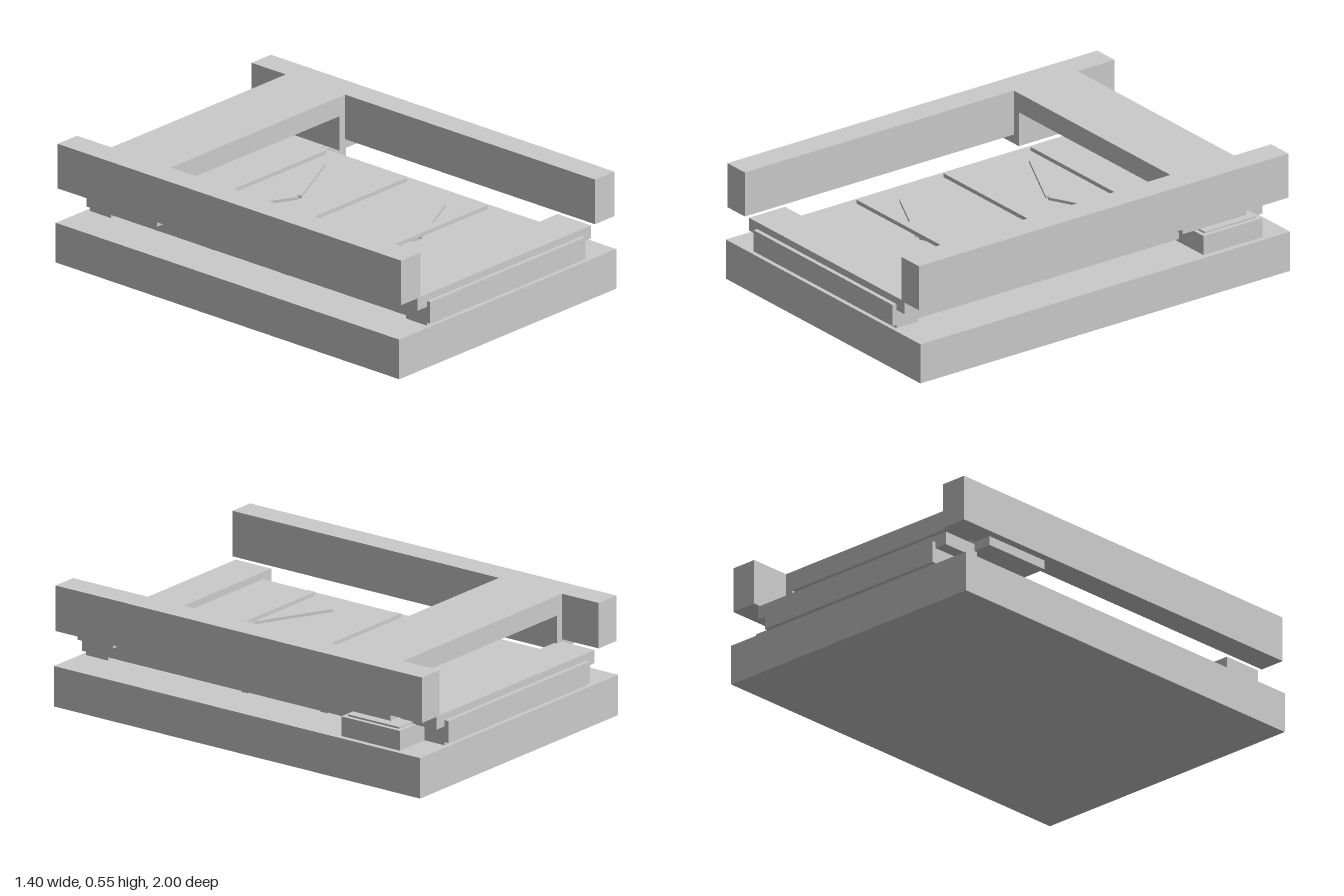
import * as THREE from 'three';

export function createModel() {
  const model = new THREE.Group();
  const material = new THREE.MeshStandardMaterial({ color: 0xcccccc, flatShading: true });

  // Box given by its [min, max] range along each axis
  function block(name, [x0, x1], [y0, y1], [z0, z1]) {
    const mesh = new THREE.Mesh(new THREE.BoxGeometry(x1 - x0, y1 - y0, z1 - z0), material);
    mesh.position.set((x0 + x1) / 2, (y0 + y1) / 2, (z0 + z1) / 2);
    mesh.name = name;
    model.add(mesh);
    return mesh;
  }

  // Base slab and the panel that rides above it
  block('base', [-0.7, 0.7], [0, 0.185], [-1, 1]);
  block('panel', [-0.5, 0.5], [0.2, 0.3], [-1, 1]);

  // End caps over the panel and the feet beneath it
  for (const [z0, z1] of [[0.785, 0.98], [-0.98, -0.785]]) {
    block('endCap', [-0.56, 0.56], [0.272, 0.332], [z0, z1]);
  }
  for (const [z0, z1] of [[0.86, 0.98], [-0.98, -0.86]]) {
    block('foot', [-0.5, 0.5], [0.185, 0.2], [z0, z1]);
  }

  // Rollers half sunk into the base
  for (const z of [0.13, -0.3]) {
    const roller = new THREE.Mesh(new THREE.CylinderGeometry(0.03, 0.03, 0.95, 20), material);
    roller.rotation.z = Math.PI / 2;
    roller.position.set(0, 0.165, z);
    roller.name = 'roller';
    model.add(roller);
  }

  // Side rails and the bridge brackets that hang from them
  for (const s of [-1, 1]) {
    const span = (a, b) => (s > 0 ? [a, b] : [-b, -a]);
    block('sideRail', span(0.563, 0.688), [0.342, 0.55], [-1, 1]);
    block('bridgeBracket', span(0.527, 0.65), [0.3, 0.46], [-0.8, -0.455]);
  }
  block('bridge', [-0.563, 0.563], [0.46, 0.55], [-0.8, -0.455]);

  // Raised cross bars
  for (const z of [-0.47, 0, 0.47]) {
    block('crossBar', [-0.437, 0.437], [0.312, 0.33], [z - 0.02, z + 0.02]);
  }

  // Chevrons, each made of two angled strips
  for (const z of [-0.315, 0.385]) {
    for (const s of [-1, 1]) {
      const strip = block('chevronStrip', [-0.195, 0.195], [0.3, 0.313], [-0.02, 0.02]);
      strip.position.x = s * 0.175;
      strip.position.z = z;
      strip.rotation.y = s * 0.46;
    }
  }

  // Side box with a thin lid, on the left only
  block('sideBox', [0.475, 0.675], [0.185, 0.275], [-0.87, -0.55]);
  block('sideBoxLid', [0.495, 0.655], [0.275, 0.283], [-0.85, -0.57]);

  return model;
}
